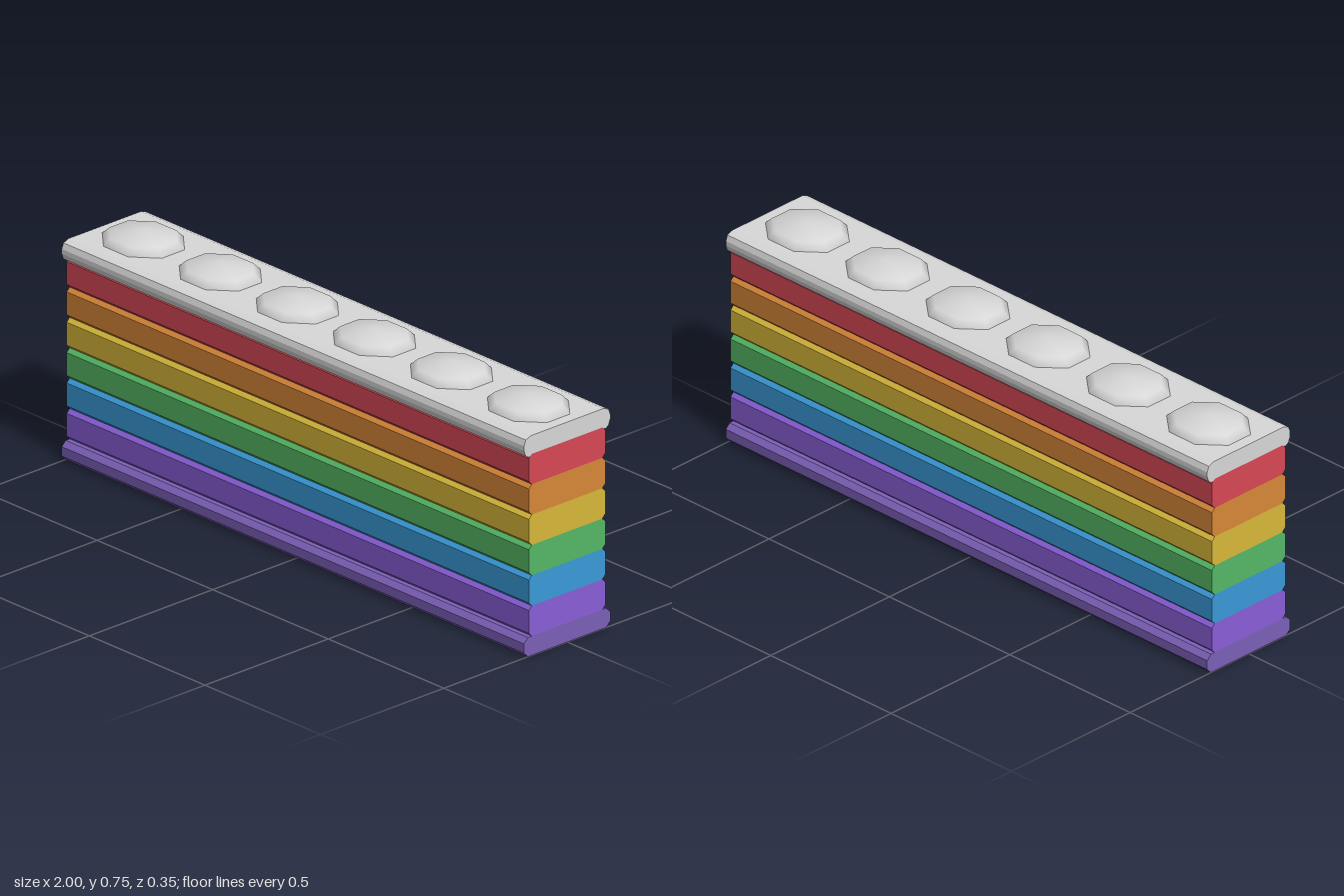
import * as THREE from 'three';

const LENGTH = 2;

function material(name, color) {
  const m = new THREE.MeshStandardMaterial({ color });
  m.name = name;
  return m;
}

// Bar along x from the right half of its (z, y) outline, listed bottom to top
function bar(name, half, mat) {
  const mirrored = half.map(([z, y]) => [-z, y]).reverse();
  const shape = new THREE.Shape([...half, ...mirrored].map(([z, y]) => new THREE.Vector2(z, y)));
  const geo = new THREE.ExtrudeGeometry(shape, { depth: LENGTH, bevelEnabled: false });
  geo.translate(0, 0, -LENGTH / 2).rotateY(Math.PI / 2);
  const mesh = new THREE.Mesh(geo, mat);
  mesh.name = name;
  return mesh;
}

// Bar outline with chamfered edges
function chamfered(y0, y1, w, c) {
  return [[w - c, y0], [w, y0 + c], [w, y1 - c], [w - c, y1]];
}

export function createModel() {
  const group = new THREE.Group();
  group.name = 'stripedBar';
  const silver = material('silver', 0xd8d8d8);

  // Wide foot
  group.add(bar('base', chamfered(0, 0.062, 0.175, 0.016), material('dark violet', 0x7c60b8)));

  // Six stacked coloured layers
  const layers = [
    ['violet', 0x8a5ed8], ['blue', 0x3a9ad8], ['green', 0x56b866],
    ['yellow', 0xd8b83a], ['orange', 0xd88838], ['red', 0xd84856],
  ];
  const bottom = 0.062, step = 0.098;
  layers.forEach(([name, color], i) => {
    const y = bottom + i * step;
    group.add(bar(name + 'Layer', chamfered(y, y + step, 0.155, 0.012), material(name, color)));
  });

  // Rounded cap, its lip reaching just below the top of the red layer
  group.add(bar('cap', [
    [0.143, 0.65], [0.149, 0.644], [0.157, 0.643], [0.168, 0.65], [0.175, 0.669],
    [0.175, 0.684], [0.168, 0.702], [0.147, 0.71],
  ], silver));

  // Row of shallow eight-sided domes
  const dome = new THREE.SphereGeometry(1, 8, 2, 0, Math.PI * 2, 0, Math.PI / 2);
  dome.rotateY(Math.PI / 8).scale(0.163, 0.061, 0.141);
  for (let i = 0; i < 6; i++) {
    const mesh = new THREE.Mesh(dome, silver);
    mesh.name = 'dome' + (i + 1);
    mesh.position.set((i - 2.5) / 3, 0.689, 0);
    group.add(mesh);
  }
  return group;
}
